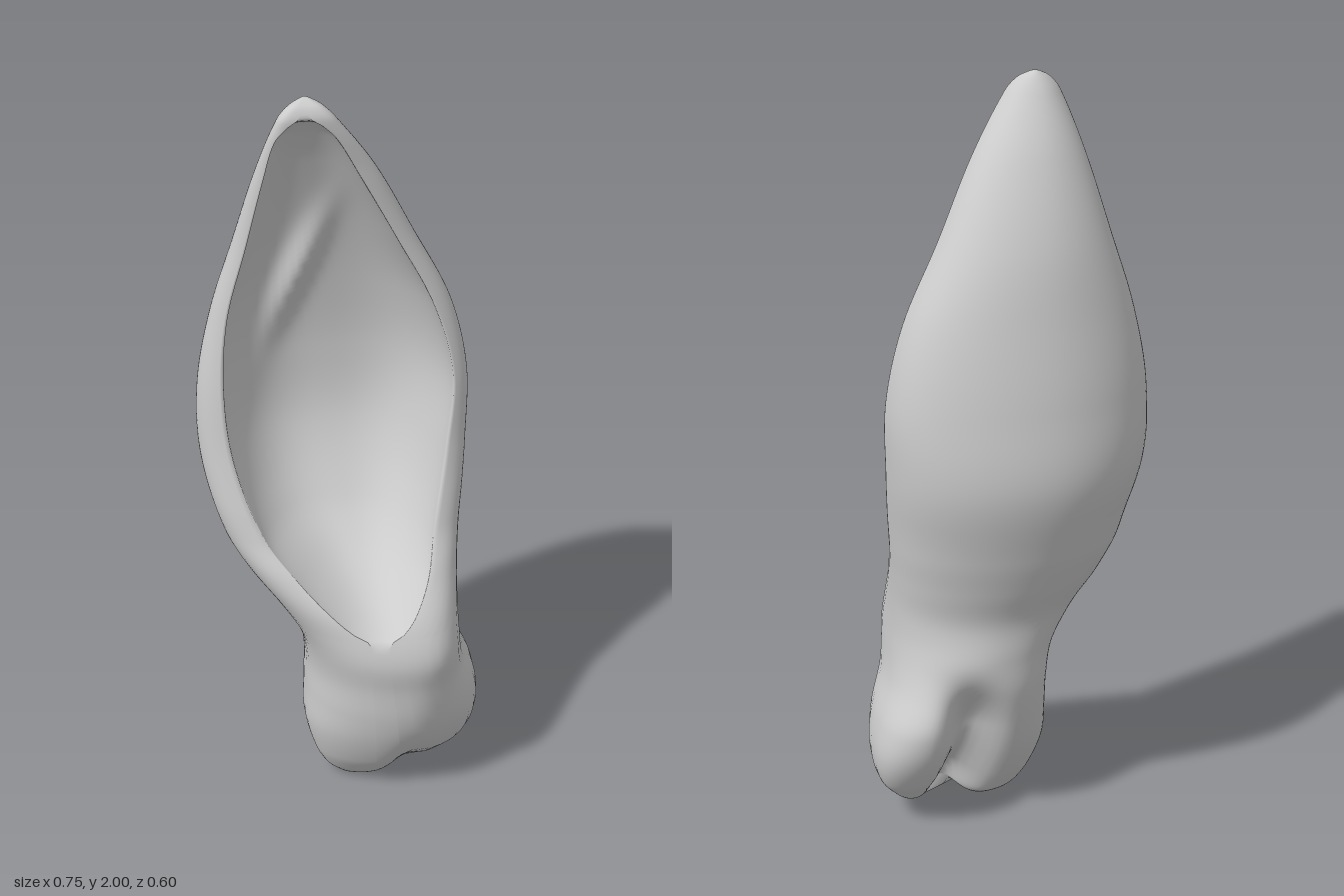
import * as THREE from 'three';

// Outline by height: y, right x, left x, back z, front z
const OUTLINE = [
  [0, -0.015, 0.25, 0.035, 0.105],
  [0.015, -0.035, 0.28, 0.01, 0.125],
  [0.04, -0.06, 0.31, -0.015, 0.15],
  [0.1, -0.09, 0.355, -0.065, 0.2],
  [0.2, -0.115, 0.375, -0.125, 0.25],
  [0.3, -0.112, 0.36, -0.165, 0.28],
  [0.4, -0.11, 0.318, -0.185, 0.29],
  [0.5, -0.13, 0.3, -0.18, 0.3],
  [0.6, -0.19, 0.295, -0.175, 0.265],
  [0.7, -0.265, 0.3, -0.21, 0.19],
  [0.8, -0.32, 0.31, -0.245, 0.12],
  [1.0, -0.37, 0.33, -0.295, 0.06],
  [1.2, -0.372, 0.332, -0.275, 0.035],
  [1.4, -0.335, 0.285, -0.235, 0.02],
  [1.6, -0.275, 0.185, -0.185, 0.025],
  [1.8, -0.22, 0.08, -0.1, 0.05],
  [1.95, -0.17, -0.025, -0.01, 0.078],
  [1.985, -0.14, -0.06, 0.015, 0.068],
  [2, -0.108, -0.09, 0.03, 0.048],
];

// Opening by height: y, right edge, left edge, floor z, hollow strength
const OPENING = [
  [0, 0.07, 0.14, 0.1, 0],
  [0.5, 0.03, 0.08, 0.25, 0],
  [0.56, 0.03, 0.08, 0.25, 0],
  [0.585, -0.015, 0.12, 0.21, 1],
  [0.63, -0.07, 0.16, 0.11, 1],
  [0.7, -0.14, 0.2, 0.0, 1],
  [0.8, -0.22, 0.225, -0.09, 1],
  [1.0, -0.29, 0.265, -0.18, 1],
  [1.2, -0.31, 0.285, -0.195, 1],
  [1.4, -0.295, 0.235, -0.17, 1],
  [1.6, -0.245, 0.135, -0.12, 1],
  [1.8, -0.2, 0.03, -0.042, 1],
  [1.9, -0.175, -0.025, 0.012, 1],
  [1.94, -0.145, -0.062, 0.045, 1],
  [1.96, -0.12, -0.09, 0.06, 0],
  [2, -0.104, -0.094, 0.04, 0],
];

const clamp01 = (t) => Math.min(1, Math.max(0, t));
const { smoothstep: step, lerp } = THREE.MathUtils;
const gauss = (d, s) => Math.exp(-((d / s) ** 2));

// Smooth lookup of one column of a table at height y
function sample(table, y, col) {
  let i = 0;
  while (i < table.length - 2 && y > table[i + 1][0]) i++;
  const slope = (k) => {
    const a = table[Math.max(0, k - 1)], b = table[Math.min(table.length - 1, k + 1)];
    return (b[col] - a[col]) / (b[0] - a[0]);
  };
  const a = table[i], b = table[i + 1], h = b[0] - a[0], t = clamp01((y - a[0]) / h);
  const t2 = t * t, t3 = t2 * t;
  return (2 * t3 - 3 * t2 + 1) * a[col] + (t3 - 2 * t2 + t) * h * slope(i)
    + (3 * t2 - 2 * t3) * b[col] + (t3 - t2) * h * slope(i + 1);
}

// Base: left lobe set back, groove up the back and notch between the two lobes
function shapeBase(x, y, z) {
  const groove = gauss(x - 0.14 - 0.2 * y - 0.4 * z, 0.065) * (1 - step(z, -0.06, 0.12));
  const low = 1 - step(y, 0, 0.3);
  const setBack = 0.35 * Math.max(0, x - 0.13) * step(x, 0.1, 0.25) * (1 - step(y, 0.3, 0.55));
  return [
    x,
    y + low * (0.05 * gauss(x - 0.155, 0.055) + 0.03 * step(x, 0.1, 0.26)),
    z + 0.1 * groove * (1 - step(y, 0.28, 0.5)) - setBack,
  ];
}

// One closed cross-section: round back, then the front with rim and hollow
function section(y) {
  const [xr, xl, zb, zf] = [1, 2, 3, 4].map((c) => sample(OUTLINE, y, c));
  const [o1, o2, floor, rawHollow] = [1, 2, 3, 4].map((c) => sample(OPENING, y, c));
  const hollow = clamp01(rawHollow);
  const cup = step(y, 0.55, 0.9);
  const cx = (xr + xl) / 2, a = (xl - xr) / 2;
  const zm = zf - (zf - zb) * (0.5 - 0.24 * cup);
  const pts = [];

  const BACK = 40, SIDE = 10, MID = 36;
  for (let i = 0; i < BACK; i++) {
    const t = (i / BACK) * Math.PI;
    const fullness = t < Math.PI / 2 ? lerp(0.9, 0.86, cup) : lerp(0.65, 1.15, cup);
    pts.push([cx + a * Math.cos(t), zm - (zm - zb) * Math.sin(t) ** fullness]);
  }
  const peak = cx + 0.3 * a * (1 - cup);
  const front = (x) => {
    const onLeft = x > peak;
    const u = clamp01(onLeft ? (x - peak) / (xl - peak) : (peak - x) / (peak - xr));
    const outer = zm + (zf - zm) * Math.sqrt(1 - u ** lerp(onLeft ? 3.2 : 2.2, 6, cup));
    const v = Math.abs((x - (o1 + o2) / 2) / ((o2 - o1) / 2));
    if (v >= 1) return outer;
    const fold = 0.035 * gauss(x + 0.11 - 0.35 * (y - 1.42), 0.04) * gauss(y - 1.45, 0.17);
    const bowl = (1 - v ** lerp(2, 3, cup)) ** lerp(0.9, 0.65, cup);
    return outer + (Math.min(floor + fold, outer) - outer) * hollow * bowl;
  };
  const xs = [];
  for (let i = 0; i < SIDE; i++) xs.push(xr + (o1 - xr) * (1 - Math.cos((i / SIDE) * Math.PI / 2)));
  for (let i = 0; i < MID; i++) xs.push(o1 + (o2 - o1) * (0.5 - 0.5 * Math.cos((i / MID) * Math.PI)));
  for (let i = 0; i < SIDE; i++) xs.push(o2 + (xl - o2) * Math.sin((i / SIDE) * Math.PI / 2));
  xs.forEach((x) => pts.push([x, front(x)]));
  return pts.map(([x, z]) => shapeBase(x, y, z));
}

// Stack the sections and close both ends
function earGeometry() {
  const ROWS = 150, positions = [], index = [];
  let n = 0;
  for (let r = 0; r <= ROWS; r++) {
    const t = r / ROWS;
    const y = 2 * (0.4 * t + 0.6 * (0.5 - 0.5 * Math.cos(Math.PI * t)));
    const loop = section(y);
    n = loop.length;
    loop.forEach((p) => positions.push(...p));
  }
  for (let r = 0; r < ROWS; r++) {
    for (let j = 0; j < n; j++) {
      const k = (j + 1) % n;
      const a = r * n + j, b = r * n + k, c = a + n, d = b + n;
      index.push(a, b, d, a, d, c);
    }
  }
  const bottom = positions.length / 3, top = bottom + 1, last = ROWS * n;
  positions.push(...shapeBase(0.12, 0, 0.07), -0.099, 2, 0.04);
  for (let j = 0; j < n; j++) {
    const k = (j + 1) % n;
    index.push(k, j, bottom, last + j, last + k, top);
  }
  const geo = new THREE.BufferGeometry();
  geo.setAttribute('position', new THREE.Float32BufferAttribute(positions, 3));
  geo.setIndex(index);
  geo.computeVertexNormals();
  return geo;
}

export function createModel() {
  const group = new THREE.Group();
  group.name = 'animalEar';
  const material = new THREE.MeshStandardMaterial({ color: 0xcccccc });
  const ear = new THREE.Mesh(earGeometry(), material);
  ear.name = 'earShell';
  group.add(ear);
  return group;
}
